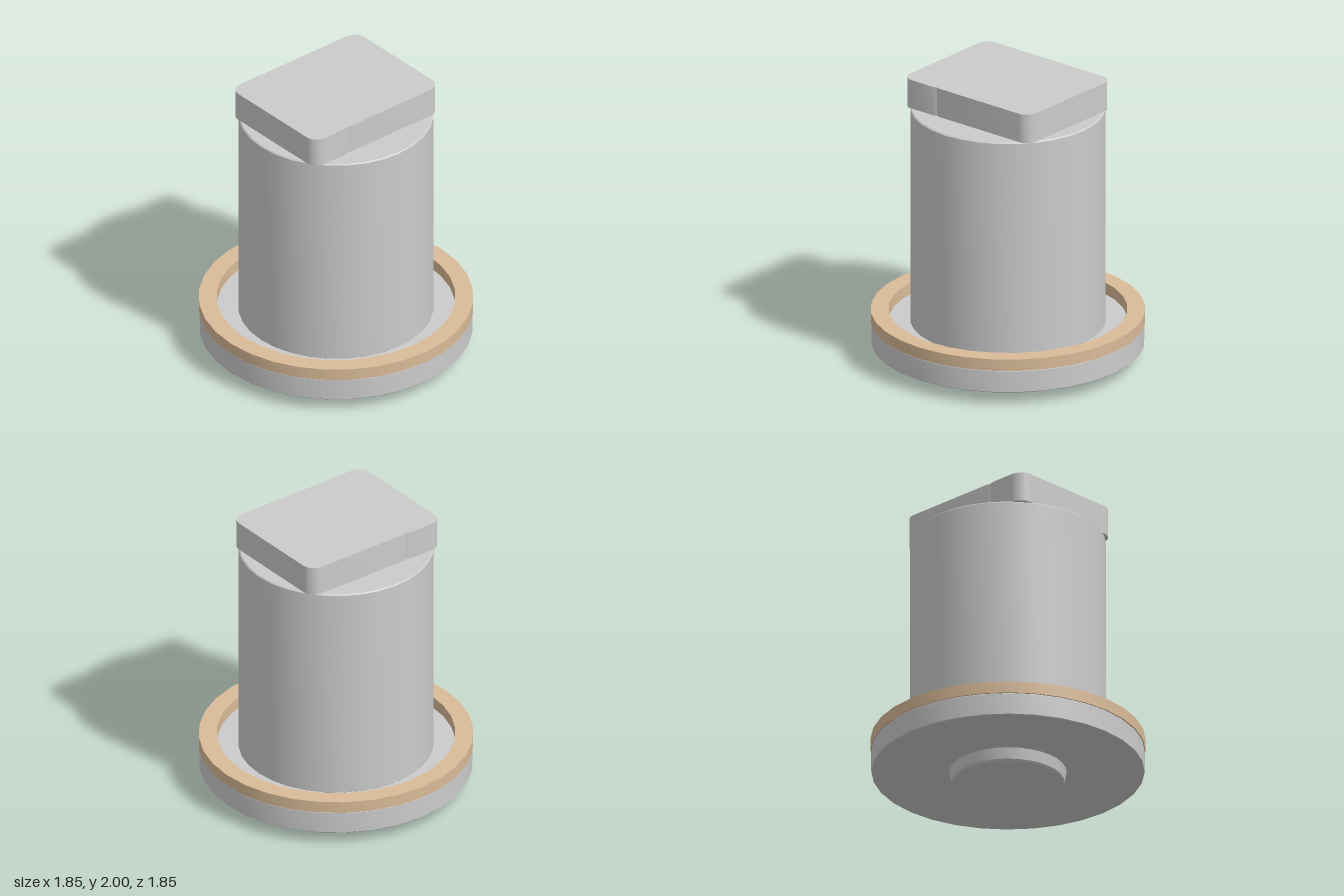
import * as THREE from 'three';
import { toCreasedNormals } from 'three/addons/utils/BufferGeometryUtils.js';

const SEGMENTS = 32;

function addPart(group, name, geometry, color = 0xcccccc) {
  const mesh = new THREE.Mesh(
    toCreasedNormals(geometry, 0.5),
    new THREE.MeshStandardMaterial({ color })
  );
  mesh.name = name;
  group.add(mesh);
  return mesh;
}

// Turned part from [radius, height] pairs, listed from the bottom up
function turned(profile) {
  return new THREE.LatheGeometry(profile.map(([r, y]) => new THREE.Vector2(r, y)), SEGMENTS);
}

// Turned solid with a small chamfer c on both rims
function disc(r, y0, y1, c) {
  return turned([[0, y0], [r - c, y0], [r, y0 + c], [r, y1 - c], [r - c, y1], [0, y1]]);
}

// Rounded rectangle with a shallow notch in each long side
function headShape() {
  const x0 = -0.56, x1 = 0.55, z = 0.443, r = 0.09, n = -0.26;
  const s = new THREE.Shape();
  s.moveTo(x0 + r, -z);
  s.lineTo(n - 0.03, -z);
  s.lineTo(n, -z + 0.01);
  s.lineTo(n + 0.03, -z + 0.003);
  s.lineTo(x1 - r, -z + 0.003);
  s.absarc(x1 - r, -z + 0.003 + r, r, -Math.PI / 2, 0);
  s.absarc(x1 - r, z - 0.003 - r, r, 0, Math.PI / 2);
  s.lineTo(n + 0.03, z - 0.003);
  s.lineTo(n, z - 0.01);
  s.lineTo(n - 0.03, z);
  s.lineTo(x0 + r, z);
  s.absarc(x0 + r, z - r, r, Math.PI / 2, Math.PI);
  s.absarc(x0 + r, -z + r, r, Math.PI, Math.PI * 1.5);
  return s;
}

export function createModel() {
  const group = new THREE.Group();
  group.name = 'flangedPlug';

  // Foot with a slight taper and a softened lower rim
  addPart(group, 'foot', turned([[0, 0], [0.37, 0], [0.382, 0.012], [0.395, 0.09], [0, 0.09]]));

  // Base flange and the main barrel
  addPart(group, 'flange', disc(0.92, 0.09, 0.25, 0.005));
  addPart(group, 'barrel', disc(0.658, 0.245, 1.795, 0.008));

  // Tan sealing ring on the flange
  addPart(group, 'sealingRing',
    turned([[0.804, 0.25], [0.925, 0.25], [0.925, 0.333], [0.804, 0.333], [0.804, 0.25]]),
    0xd9bb98);

  // Rectangular head overhanging the barrel
  const head = new THREE.ExtrudeGeometry(headShape(), { depth: 0.207, bevelEnabled: false, curveSegments: 8 });
  head.rotateX(-Math.PI / 2);
  head.translate(0, 1.793, 0);
  addPart(group, 'head', head);

  return group;
}
